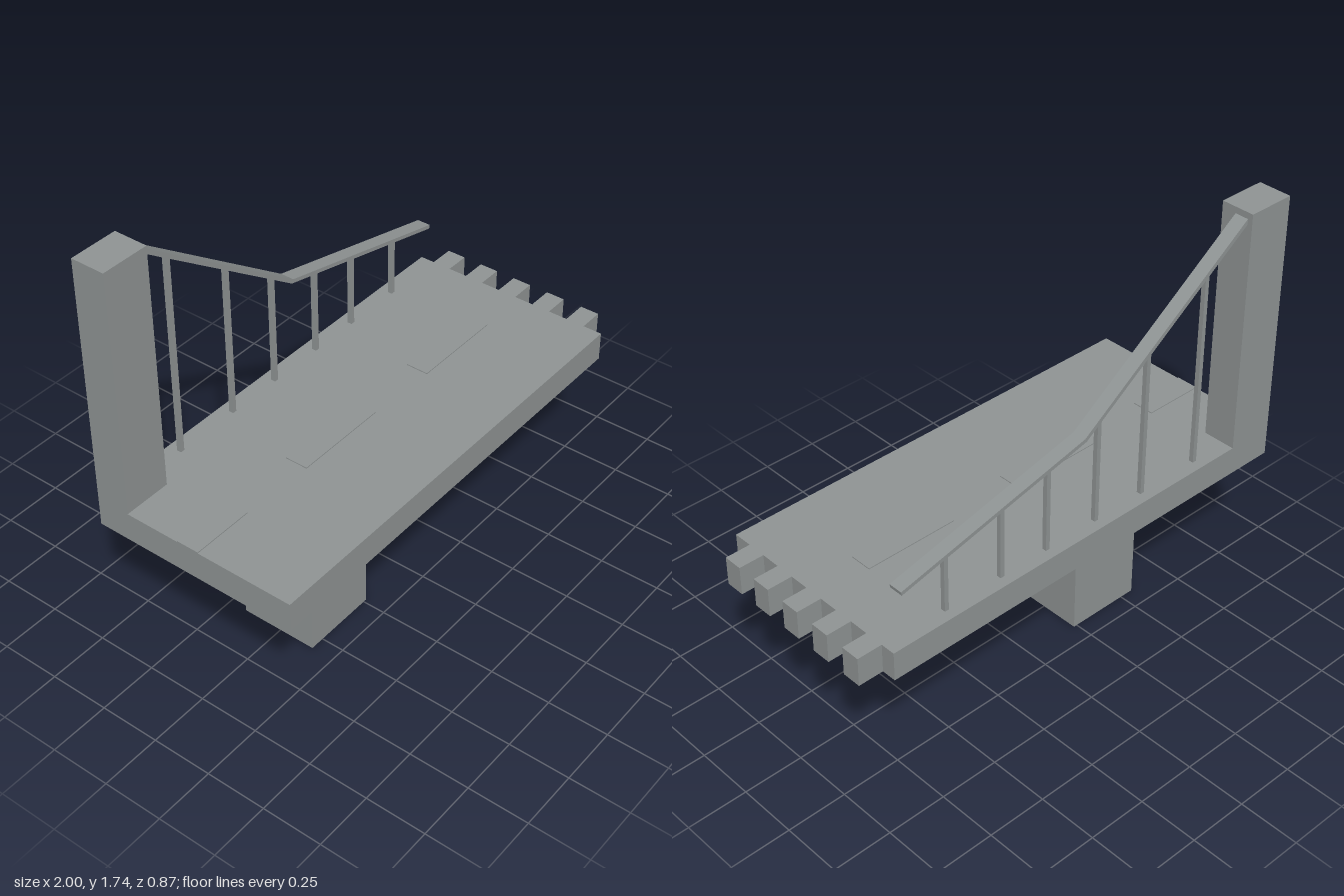
import * as THREE from 'three';

export function createModel() {
  const model = new THREE.Group();
  const concrete = new THREE.MeshStandardMaterial({ color: 0x8f9494 });
  concrete.name = 'concrete grey';

  const add = (name, geometry) => {
    const mesh = new THREE.Mesh(geometry, concrete);
    mesh.name = name;
    model.add(mesh);
    return mesh;
  };

  // Box given by its extents on each axis
  const box = (name, [x0, x1], [y0, y1], [z0, z1]) => {
    const mesh = add(name, new THREE.BoxGeometry(x1 - x0, y1 - y0, z1 - z0));
    mesh.position.set((x0 + x1) / 2, (y0 + y1) / 2, (z0 + z1) / 2);
    return mesh;
  };

  const shapeOf = (points) => new THREE.Shape(points.map(([x, y]) => new THREE.Vector2(x, y)));

  // Road deck with a toothed right end, drawn in plan (shape y = -z)
  const deckBottom = 0.61, deckTop = 0.73, halfDepth = 0.434, notchX = 0.895;
  const plan = [[-1, -halfDepth], [notchX, -halfDepth]];
  for (let i = 0; i < 5; i++) {
    const mid = -0.314 + i * 0.1617;
    plan.push([notchX, mid - 0.04], [1, mid - 0.04], [1, mid + 0.04], [notchX, mid + 0.04]);
  }
  plan.push([notchX, halfDepth], [-1, halfDepth]);
  const deck = new THREE.ExtrudeGeometry(shapeOf(plan), { depth: deckTop - deckBottom, bevelEnabled: false });
  deck.rotateX(-Math.PI / 2).translate(0, deckBottom, 0);
  add('deck', deck);

  // Support below the deck
  box('pier', [-0.56, -0.235], [0, 0.407], [-0.17, 0.154]);
  box('pierCap', [-0.6, -0.175], [0.407, deckBottom], [-0.207, 0.197]);

  // Tower at the back corner
  box('tower', [-1, -0.8], [deckTop, 1.74], [-halfDepth, -0.294]);

  // Lane markings
  [[-1, -0.742, -0.017], [-0.433, -0.032, -0.006], [0.273, 0.673, 0.005]].forEach(([x0, x1, z]) =>
    box('laneMarking', [x0, x1], [deckTop, deckTop + 0.004], [z - 0.047, z + 0.047]));

  // Flat suspension cable with one bend
  const cable = new THREE.ExtrudeGeometry(shapeOf([
    [-0.805, 1.695], [-0.02, 1.135], [0.833, 0.933], [0.836, 0.949], [-0.012, 1.15], [-0.8, 1.714],
  ]), { depth: 0.058, bevelEnabled: false });
  cable.translate(0, 0, -0.413);
  add('cable', cable);

  // Hangers from cable to deck
  const cableHeight = (x) => (x < -0.016 ? 1.142 - (x + 0.016) * 0.714 : 1.142 - (x + 0.016) * 0.237);
  [-0.63, -0.345, -0.105, 0.14, 0.36, 0.62].forEach((x) =>
    box('hanger', [x - 0.009, x + 0.009], [deckTop, cableHeight(x)], [-0.392, -0.373]));

  return model;
}
